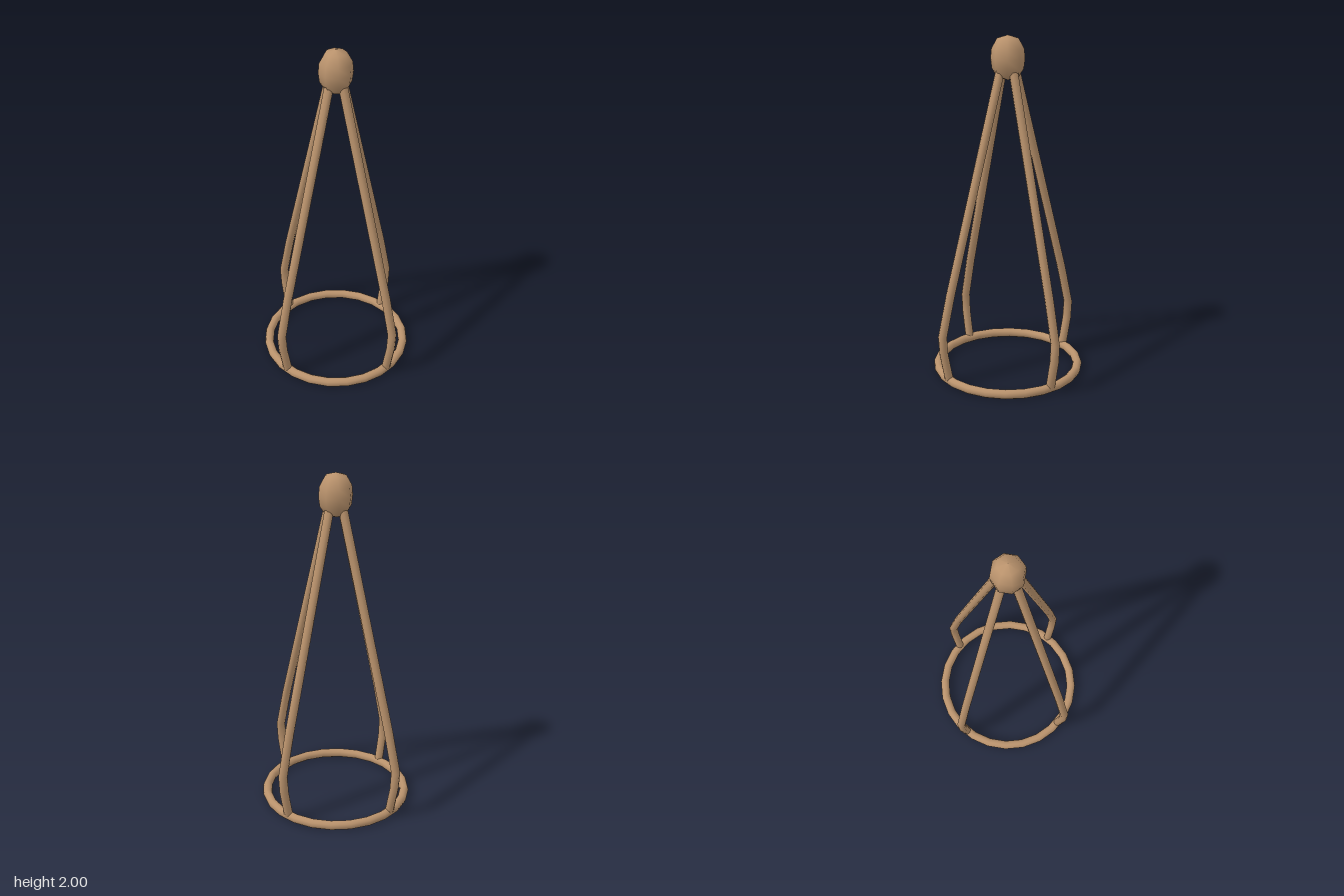
import * as THREE from 'three';
import { mergeVertices } from 'three/addons/utils/BufferGeometryUtils.js';

// Bent leg: the rows of an open cylinder follow a path of [distance from axis, height]
function legGeometry(path, radius) {
  const rows = path.length - 1;
  const geo = new THREE.CylinderGeometry(radius, radius, 1, 8, rows, true);
  const pos = geo.attributes.position;
  for (let i = 0; i < pos.count; i++) {
    const [out, y] = path[Math.round((pos.getY(i) + 0.5) * rows)];
    pos.setXYZ(i, pos.getX(i) + out, y, pos.getZ(i));
  }
  geo.deleteAttribute('uv');
  geo.deleteAttribute('normal');
  const smooth = mergeVertices(geo);
  smooth.computeVertexNormals();
  return smooth;
}

export function createModel() {
  const model = new THREE.Group();
  model.name = 'wireStand';
  const wood = new THREE.MeshStandardMaterial({ color: 0xb9926c });
  wood.name = 'tan wood';

  const add = (name, geo) => {
    const mesh = new THREE.Mesh(geo, wood);
    mesh.name = name;
    model.add(mesh);
    return mesh;
  };

  // Base ring
  const ring = add('baseRing', new THREE.TorusGeometry(0.42, 0.027, 10, 24));
  ring.rotation.x = -Math.PI / 2;
  ring.position.y = 0.027;

  // Four bent legs rising from the ring to the knob
  const leg = legGeometry(
    [[0.42, 0.03], [0.453, 0.2], [0.46, 0.31], [0.4, 0.56], [0.045, 1.83]], 0.026);
  for (let i = 0; i < 4; i++) {
    add('leg' + (i + 1), leg).rotation.y = THREE.MathUtils.degToRad(37.5 + 90 * i);
  }

  // Rounded knob on top
  const profile = [[0, 1.75], [0.06, 1.768], [0.089, 1.815], [0.096, 1.87],
    [0.091, 1.925], [0.06, 1.982], [0, 2]].map(([x, y]) => new THREE.Vector2(x, y));
  add('topKnob', new THREE.LatheGeometry(profile, 8));

  return model;
}
